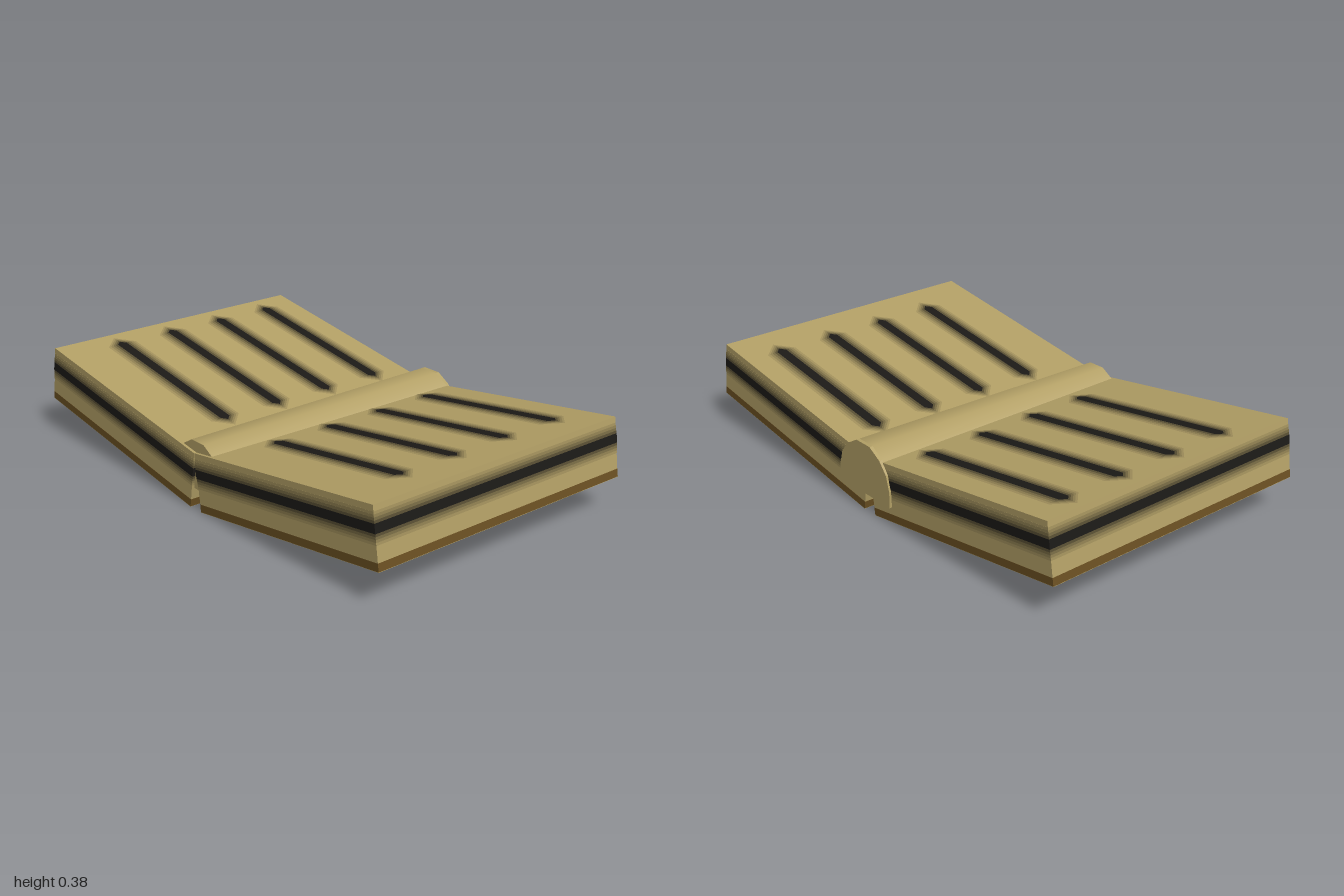
import * as THREE from 'three';
import { toCreasedNormals } from 'three/addons/utils/BufferGeometryUtils.js';

const GOLD = new THREE.Color(0xb3a066), DARK = new THREE.Color(0x1c1a17);
const paint = (color) => new THREE.MeshStandardMaterial({ color });
const gold = paint(GOLD), brown = paint(0x2a1c09), rim = paint(0x6b5022);

// Shades from gold to dark, used for soft-edged bands built from nested layers
const LAYERS = 5;
const shades = Array.from({ length: LAYERS }, (_, i) =>
  paint(GOLD.clone().lerp(DARK, (i + 1) / LAYERS)));

const LENGTH = 0.977, THICK = 0.228, DEPTH = 1.17, MID_Z = 0.005;

function add(parent, name, geometry, material, x = 0, y = 0, z = 0) {
  const mesh = new THREE.Mesh(geometry, material);
  mesh.name = name;
  mesh.position.set(x, y, z);
  parent.add(mesh);
  return mesh;
}

// Flat bar with pointed ends, lying in the xz plane
function stripeGeometry(length, width) {
  const a = length / 2, b = width / 2, p = Math.min(a, b);
  const shape = new THREE.Shape([[-a, 0], [p - a, -b], [a - p, -b], [a, 0], [a - p, b], [p - a, b]]
    .map(([x, y]) => new THREE.Vector2(x, y)));
  return new THREE.ShapeGeometry(shape).rotateX(-Math.PI / 2);
}

// One tilted slab; side is +1 or -1, its origin is the lower inner edge
function makeSlab(name, side, hingeX, angle, stripeStart, stripeEnd) {
  const slab = new THREE.Group();
  slab.name = name;
  slab.position.set(side * hingeX, 0.003, MID_Z);
  slab.rotation.z = side * angle;
  const midX = side * LENGTH / 2;

  add(slab, 'slabBody', new THREE.BoxGeometry(LENGTH, THICK, DEPTH),
    [gold, gold, gold, brown, gold, gold], midX, THICK / 2);
  add(slab, 'lowerRim', new THREE.BoxGeometry(LENGTH + 0.001, 0.03, DEPTH + 0.001), rim, midX, 0.0165);

  // Dark band around the side walls
  shades.forEach((shade, i) => {
    const grow = 0.0008 * (i + 1), height = 0.115 - 0.02 * i;
    add(slab, 'sideBand', new THREE.BoxGeometry(LENGTH + grow, height, DEPTH + grow), shade, midX, 0.148);
  });

  // Four dark stripes on the upper face
  for (let row = 0; row < 4; row++) {
    shades.forEach((shade, i) => {
      const geometry = stripeGeometry(stripeEnd - stripeStart - 0.022 * i, 0.13 - 0.022 * i);
      add(slab, 'topStripe', geometry, shade, side * (stripeStart + stripeEnd) / 2,
        THICK + 0.0006 * (i + 1), -0.425 + 0.25 * row);
    });
  }
  return slab;
}

// Half-round section shared by the spine and its end cap
function archShape() {
  const half = [[0.152, 0.08], [0.152, 0.145], [0.135, 0.205], [0.098, 0.25], [0.04, 0.284]];
  const mirrored = half.map(([x, y]) => [-x, y]).reverse();
  return new THREE.Shape([...half, ...mirrored].map(([x, y]) => new THREE.Vector2(x, y)));
}

function makeSpine() {
  const spine = new THREE.Group();
  spine.name = 'spine';

  // Ridge over the fold, narrower and lower towards the front
  const ridge = new THREE.ExtrudeGeometry(archShape(), { depth: 1.155, bevelEnabled: false, steps: 1 });
  const pos = ridge.attributes.position;
  for (let i = 0; i < pos.count; i++) {
    const t = pos.getZ(i) / 1.155;
    pos.setX(i, pos.getX(i) * (1 - 0.08 * t) - 0.005 * t);
    pos.setY(i, 0.08 + (pos.getY(i) - 0.08) * (1 - 0.06 * t));
  }
  ridge.computeVertexNormals();
  add(spine, 'spineRidge', toCreasedNormals(ridge, 0.8), gold, 0.012, 0, -0.576);

  // Thin plate closing the back end
  const plate = new THREE.ExtrudeGeometry(archShape(), { depth: 0.014, bevelEnabled: false });
  add(spine, 'spineEndCap', plate, gold, 0.012, 0, -0.59);
  return spine;
}

export function createModel() {
  const model = new THREE.Group();
  model.name = 'foldedSlabs';
  model.add(
    makeSlab('leftSlab', 1, 0.032, 0.144, 0.1, 0.88),
    makeSlab('rightSlab', -1, 0.036, 0.154, 0.1, 0.945),
    makeSpine(),
  );
  return model;
}
